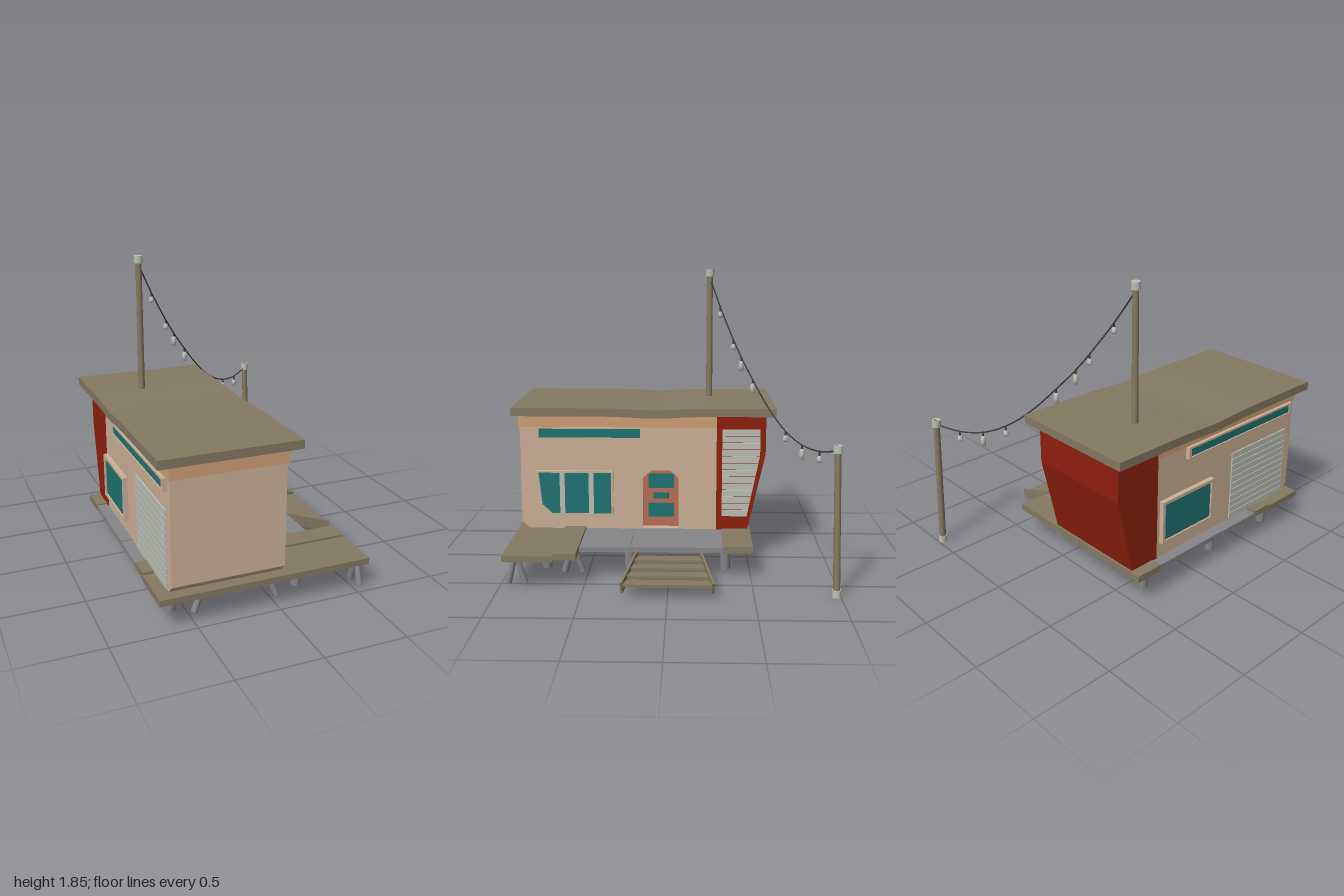
import * as THREE from 'three';

const mat = (name, color) => new THREE.MeshStandardMaterial({ name, color });
const V = (x, y, z) => new THREE.Vector3(x, y, z);

export function createModel() {
  const root = new THREE.Group();
  root.name = 'cabin';
  const wall = mat('beige wall', 0xcfb299);
  const trim = mat('tan trim', 0xd3a077);
  const wood = mat('weathered wood', 0x857a63);
  const red = mat('red panel', 0x8f200d);
  const glass = mat('teal glass', 0x1f7573);
  const slat = mat('pale slats', 0xbcc1b6);
  const doorMat = mat('salmon door', 0xbb7058);
  const grey = mat('grey concrete', 0x86868a);
  const wireMat = mat('dark wire', 0x3c3c3c);

  const add = (name, geo, m) => {
    const mesh = new THREE.Mesh(geo, m);
    mesh.name = name;
    root.add(mesh);
    return mesh;
  };
  // Box given by its limits
  const box = (name, m, x0, x1, y0, y1, z0, z1) => {
    const b = add(name, new THREE.BoxGeometry(x1 - x0, y1 - y0, z1 - z0), m);
    b.position.set((x0 + x1) / 2, (y0 + y1) / 2, (z0 + z1) / 2);
    return b;
  };
  // Side outline of [z, y] points, extruded from x0 to x1
  const side = (name, m, pts, x0, x1, hole) => {
    const v = (p) => p.map(([z, y]) => new THREE.Vector2(-z, y));
    const s = new THREE.Shape(v(pts));
    if (hole) s.holes.push(new THREE.Path(v(hole)));
    const g = new THREE.ExtrudeGeometry(s, { depth: x1 - x0, bevelEnabled: false });
    g.rotateY(Math.PI / 2).translate(x0, 0, 0);
    return add(name, g, m);
  };
  const rect = (z0, z1, y0, y1) => [[z0, y0], [z1, y0], [z1, y1], [z0, y1]];
  // Round post between two points
  const rod = (name, m, a, b, ra, rb = ra, n = 12) => {
    const r = add(name, new THREE.CylinderGeometry(rb, ra, a.distanceTo(b), n), m);
    r.position.copy(a).lerp(b, 0.5);
    r.quaternion.setFromUnitVectors(V(0, 1, 0), b.clone().sub(a).normalize());
    return r;
  };

  // House body, with a recessed doorway in the left wall
  const profile = [[0.955, 0.245], [0.91, 0.2], [-0.295, 0.2], [-0.295, 0.95], [0.955, 0.95]];
  const doorway = [[0.175, 0.205], [-0.055, 0.205], [-0.055, 0.535], [0, 0.585], [0.12, 0.585], [0.175, 0.535]];
  side('bodyCore', wall, profile, -0.635, -0.02);
  side('doorWall', wall, profile, -0.02, 0.04, doorway);
  box('trimBand', trim, -0.643, 0.048, 0.865, 0.955, -0.295, 0.962);

  // Red rear section
  side('redRear', red, [[-0.295, 0.2], [-0.495, 0.2], [-0.605, 0.7], [-0.605, 0.955], [-0.295, 0.955]], -0.64, 0.046);

  // Roof slab with a gentle sag
  const roofGeo = new THREE.BoxGeometry(0.832, 0.052, 1.657, 4, 1, 32);
  roofGeo.translate(-0.298, 0.974, 0.168);
  const rp = roofGeo.attributes.position;
  for (let i = 0; i < rp.count; i++) {
    const d = (rp.getZ(i) - 0.1) / 0.18;
    rp.setY(i, rp.getY(i) - 0.012 * Math.exp(-d * d));
  }
  roofGeo.computeVertexNormals();
  add('roof', roofGeo, wood);

  // Door and its panes
  side('door', doorMat, doorway, -0.02, -0.005);
  [[0.14, -0.025, 0.46, 0.555], [0.11, 0.01, 0.39, 0.43], [0.14, -0.025, 0.27, 0.36]].forEach((p) =>
    side('doorPane', glass, rect(...p), -0.005, 0.001));

  // Left windows
  side('upperFrame', wall, rect(0.85, 0.172, 0.788, 0.867), 0.04, 0.056, rect(0.832, 0.19, 0.8, 0.857));
  side('upperGlass', glass, rect(0.832, 0.19, 0.8, 0.857), 0.044, 0.052);
  const pane = [[0.842, 0.572], [0.377, 0.572], [0.377, 0.302], [0.757, 0.302], [0.82, 0.36]];
  side('lowerFrame', wall, [[0.858, 0.584], [0.363, 0.584], [0.363, 0.29], [0.762, 0.29], [0.834, 0.354]], 0.04, 0.061, pane);
  side('lowerGlass', glass, pane, 0.041, 0.049);
  for (const z of [0.69, 0.505]) box('mullion', slat, 0.049, 0.056, 0.302, 0.572, z - 0.016, z + 0.016);

  // Right windows
  side('rightUpperFrame', wall, rect(0.91, -0.06, 0.785, 0.865), -0.663, -0.635, rect(0.89, -0.04, 0.798, 0.852));
  side('rightUpperGlass', glass, rect(0.89, -0.04, 0.798, 0.852), -0.655, -0.647);
  side('rightLowerFrame', wall, rect(0.17, -0.27, 0.295, 0.58), -0.665, -0.635, rect(0.15, -0.25, 0.315, 0.56));
  side('rightLowerGlass', glass, rect(0.15, -0.25, 0.315, 0.56), -0.655, -0.647);

  // Louvre on the red panel, narrowing towards the bottom
  const rows = 13, rowH = 0.57 / rows;
  const edge = (y) => (y > 0.69 ? -0.57 : -0.49 - 0.08 * (y - 0.29) / 0.4);
  for (let i = 0; i < rows; i++) {
    const y0 = 0.29 + i * rowH, y1 = y0 + rowH - 0.004;
    side('louvreSlat', slat, [[-0.33, y0], [edge(y0), y0], [edge(y1), y1], [-0.33, y1]], 0.045, 0.053);
  }
  // Roller shutter on the right wall
  for (let i = 0; i < 11; i++) {
    const y = 0.205 + i * 0.043;
    box('shutterSlat', slat, -0.643, -0.634, y, y + 0.039, 0.36, 0.89);
  }

  // Deck
  box('frontDeck', wood, -0.71, 0.577, 0.16, 0.198, 0.68, 0.98);
  box('frontDeckStep', wood, -0.71, 0.572, 0.172, 0.212, 0.542, 0.68);
  box('middleSlabFront', grey, -0.705, 0.405, 0.166, 0.196, 0.232, 0.542);
  box('middleSlabRear', grey, -0.705, 0.405, 0.166, 0.199, -0.33, 0.23);
  box('rearDeck', wood, -0.71, 0.407, 0.163, 0.206, -0.51, -0.33);

  // Steps with flaring stringers
  const at = (t, s) => V(0.4 + 0.31 * t, 0.145 - 0.085 * t, s * (0.192 + 0.072 * t));
  for (const s of [-1, 1]) {
    const a = at(0, s), b = at(1, s);
    const beam = add('stringer', new THREE.BoxGeometry(0.014, 0.07, a.distanceTo(b)), wood);
    beam.position.copy(a).lerp(b, 0.5);
    beam.lookAt(b);
  }
  for (let i = 0; i < 4; i++) {
    const c = at((i + 0.5) / 4, 1);
    box('tread', wood, c.x - 0.039, c.x + 0.039, c.y - 0.008, c.y + 0.01, -c.z, c.z);
  }

  // Thick stilts with wider heads
  for (const x of [-0.577, 0.21]) for (const z of [-0.35, 0.25, 0.77]) {
    rod('stilt', grey, V(x - 0.005, 0, z), V(x, 0.165, z), 0.03, 0.033);
    rod('stiltHead', grey, V(x, 0.145, z), V(x, 0.168, z), 0.04);
  }
  // Thin raking props
  [
    [-0.475, 0.87, -0.415, 0.85], [0.03, 0.87, -0.02, 0.85],
    [0.535, 0.95, 0.535, 0.91], [0.535, 0.85, 0.535, 0.89],
    [0.335, 0.64, 0.35, 0.595], [0.335, 0.53, 0.35, 0.575],
  ].forEach(([x0, z0, x1, z1]) => rod('prop', grey, V(x0, 0.02, z0), V(x1, 0.168, z1), 0.02, 0.016));

  // Light poles and caps
  rod('roofPole', wood, V(-0.4, 0.98, -0.253), V(-0.4, 1.81, -0.253), 0.021, 0.019);
  rod('roofPoleCap', slat, V(-0.4, 1.8, -0.253), V(-0.4, 1.845, -0.253), 0.028);
  const foot = V(0.668, 0, -0.972), head = V(0.633, 0.885, -0.957);
  rod('groundPole', wood, foot, head, 0.021, 0.019);
  rod('groundPoleCap', slat, foot.clone().lerp(head, 0.95), head, 0.027);
  rod('groundPoleShoe', slat, foot, foot.clone().lerp(head, 0.05), 0.026);

  // Hanging wire
  const onWire = (x, y) => V(x, y, -0.253 - (x + 0.4) * 0.681);
  const path = [[-0.39, 1.77], [-0.3, 1.6], [-0.18, 1.4], [-0.11, 1.295], [-0.01, 1.165], [0.13, 1.0],
    [0.26, 0.89], [0.385, 0.832], [0.51, 0.822], [0.625, 0.85]].map(([x, y]) => onWire(x, y));
  add('wire', new THREE.TubeGeometry(new THREE.CatmullRomCurve3(path), 60, 0.0045, 6), wireMat);

  // Bulbs, alternating round and long
  const round = [[0, -0.021], [0.012, -0.016], [0.017, -0.004], [0.013, 0.012], [0.007, 0.021], [0, 0.021]];
  const long = [[0, -0.031], [0.013, -0.031], [0.016, -0.004], [0.015, 0.018], [0.008, 0.031], [0, 0.031]];
  [[1, 0], [2, 0], [3, 1], [4, 1], [6, 0], [7, 1], [8, 0]].forEach(([i, isLong]) => {
    const p = path[i], pts = (isLong ? long : round).map(([r, y]) => new THREE.Vector2(r, y));
    const bulb = add('bulb', new THREE.LatheGeometry(pts, 12), slat);
    bulb.position.set(p.x, p.y - (isLong ? 0.055 : 0.047), p.z);
    rod('bulbHolder', wireMat, V(p.x, p.y - 0.03, p.z), p, 0.006, 0.005, 8);
  });

  return root;
}
